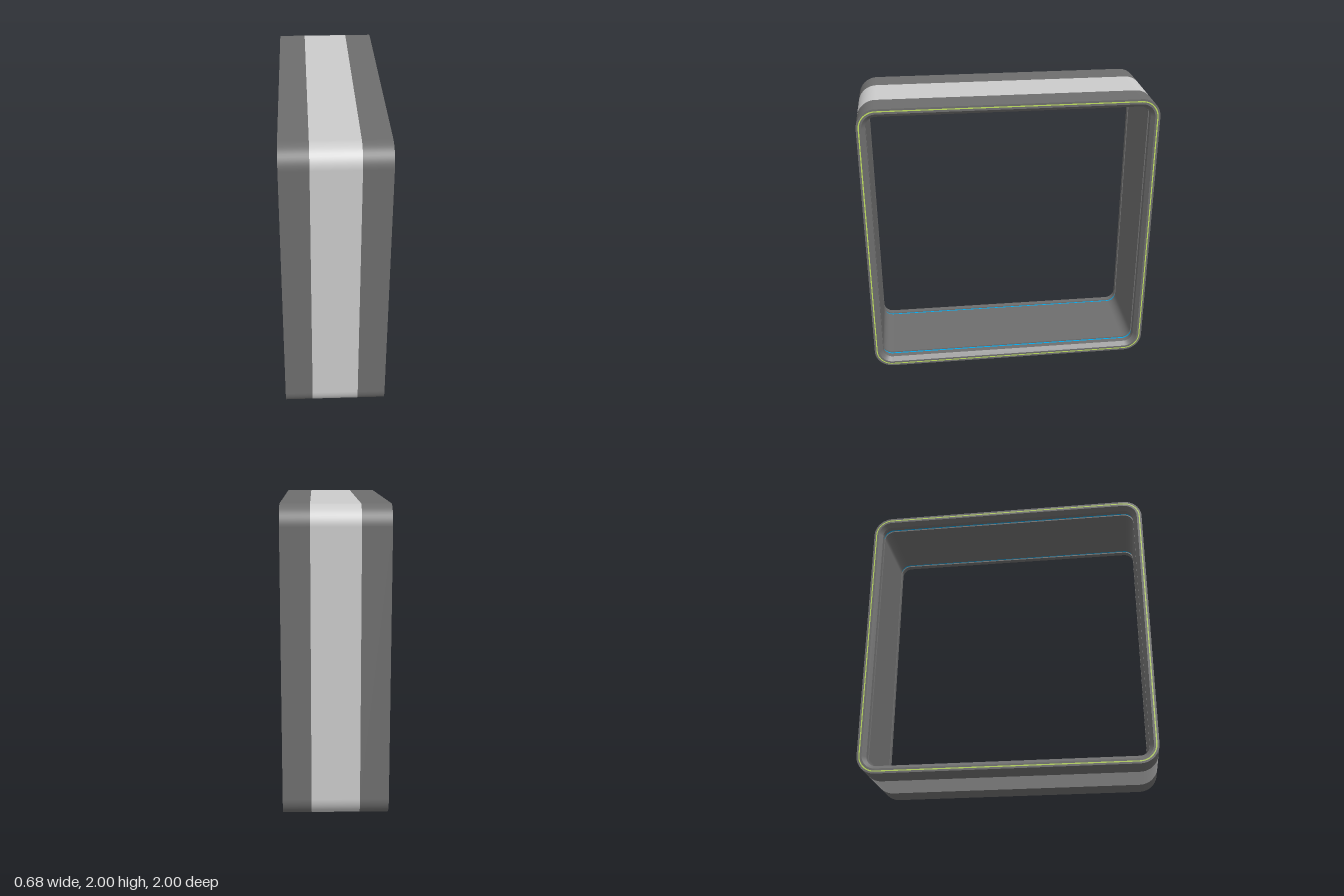
import * as THREE from 'three';

const R = 0.13; // outer corner radius
const STEPS = 12; // segments per rounded corner

// Rounded-square loop: centre of curvature and outward direction of each point
const loop = [];
for (let c = 0; c < 4; c++) {
  const mid = (c + 0.5) * Math.PI / 2;
  for (let s = 0; s <= STEPS; s++) {
    const a = (c + s / STEPS) * Math.PI / 2;
    loop.push({
      cz: Math.sign(Math.cos(mid)) * (1 - R),
      cy: Math.sign(Math.sin(mid)) * (1 - R),
      dz: Math.cos(a),
      dy: Math.sin(a),
    });
  }
}

// Sweeps a profile of [x, inset from the outer face] around the loop
function sweep(name, profile, color) {
  const pos = [], nor = [], idx = [];
  for (let i = 0; i < profile.length - 1; i++) {
    const [x0, d0] = profile[i], [x1, d1] = profile[i + 1];
    const len = Math.hypot(x1 - x0, d1 - d0);
    const nx = (d1 - d0) / len, no = (x1 - x0) / len;
    const base = pos.length / 3;
    loop.forEach(({ cz, cy, dz, dy }, k) => {
      for (const [x, d] of [profile[i], profile[i + 1]]) {
        pos.push(x, 1 + cy + (R - d) * dy, cz + (R - d) * dz);
        nor.push(nx, no * dy, no * dz);
      }
      const p = base + 2 * k, q = base + 2 * ((k + 1) % loop.length);
      idx.push(p, p + 1, q + 1, p, q + 1, q);
    });
  }
  const geo = new THREE.BufferGeometry();
  geo.setAttribute('position', new THREE.Float32BufferAttribute(pos, 3));
  geo.setAttribute('normal', new THREE.Float32BufferAttribute(nor, 3));
  geo.setIndex(idx);
  const mesh = new THREE.Mesh(geo, new THREE.MeshStandardMaterial({ color }));
  mesh.name = name;
  return mesh;
}

export function createModel() {
  const group = new THREE.Group();
  group.name = 'squareFrame';
  const DARK = 0x6e6e6e, GREEN = 0xc0e060, BLUE = 0x00aaee;
  const W = 0.34, BAND = 0.155, WALL = 0.06, GROOVE = 0.052;

  // Light band round the middle of the outside
  group.add(sweep('middleBand', [[-BAND, 0], [BAND, 0]], 0xcccccc));

  // Inner wall between the two coloured strips
  group.add(sweep('innerWall', [[0.252, WALL], [-0.252, WALL]], DARK));

  // Each end: the right one is the left one's mirror, with the profile reversed
  for (const side of [1, -1]) {
    const prefix = side > 0 ? 'left' : 'right';
    const add = (name, pts, color) => {
      const p = pts.map(([x, d]) => [x * side, d]);
      group.add(sweep(prefix + name, side > 0 ? p : p.reverse(), color));
    };
    add('OuterBand', [[BAND, 0], [W, 0], [W, 0.013]], DARK);
    add('RimLine', [[W, 0.013], [W, 0.021]], GREEN);
    // Rim, bevelled inner edge and the wall up to the strip groove
    add('InnerRim', [[W, 0.021], [W, 0.035], [0.312, WALL], [0.274, WALL], [0.274, GROOVE]], DARK);
    add('InnerStrip', [[0.274, GROOVE], [0.252, GROOVE]], BLUE);
    add('GrooveEdge', [[0.252, GROOVE], [0.252, WALL]], DARK);
  }
  return group;
}
